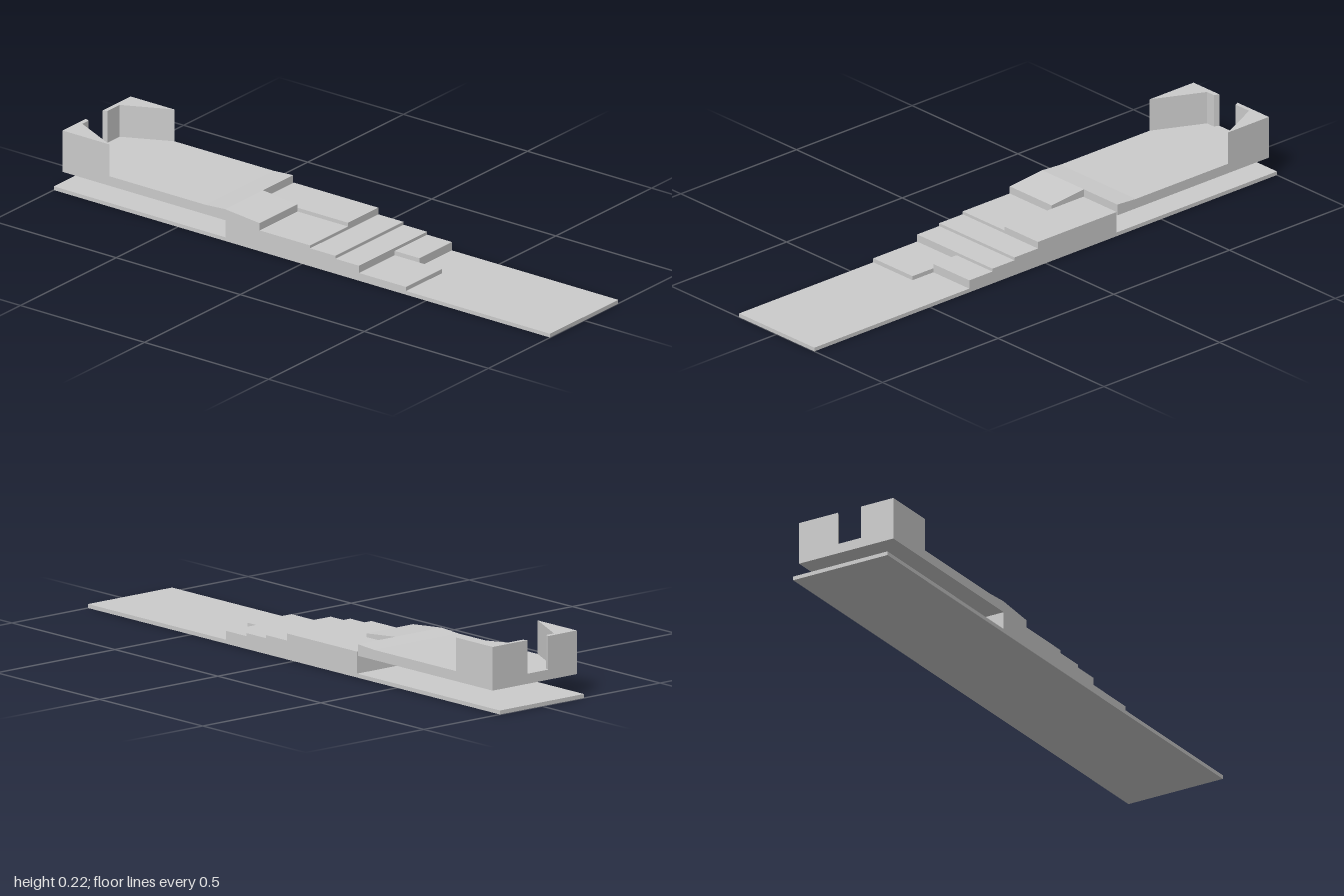
import * as THREE from 'three';

const material = new THREE.MeshStandardMaterial({ color: 0xcccccc, flatShading: true });
const W = 0.178; // half width
const BASE = 0.013; // base plate thickness

function toShape(points) {
  return new THREE.Shape(points.map(([a, b]) => new THREE.Vector2(a, b)));
}

function addMesh(group, name, geometry) {
  const mesh = new THREE.Mesh(geometry, material);
  mesh.name = name;
  group.add(mesh);
}

// Side profile given as [z, y] points, extruded across x0..x1
function addProfile(group, name, x0, x1, points) {
  const geometry = new THREE.ExtrudeGeometry(toShape(points), { depth: x1 - x0, bevelEnabled: false });
  geometry.rotateY(-Math.PI / 2).translate(x1, 0, 0);
  addMesh(group, name, geometry);
}

// Plan outline given as [x, z] points, extruded upwards from y0 to y1
function addPlan(group, name, y0, y1, points) {
  const geometry = new THREE.ExtrudeGeometry(
    toShape(points.map(([x, z]) => [x, -z])), { depth: y1 - y0, bevelEnabled: false });
  geometry.rotateX(-Math.PI / 2).translate(0, y0, 0);
  addMesh(group, name, geometry);
}

function addBlock(group, name, x0, x1, y0, y1, z0, z1) {
  const geometry = new THREE.BoxGeometry(x1 - x0, y1 - y0, z1 - z0);
  geometry.translate((x0 + x1) / 2, (y0 + y1) / 2, (z0 + z1) / 2);
  addMesh(group, name, geometry);
}

export function createModel() {
  const model = new THREE.Group();
  model.name = 'steppedRamp';

  // Long thin base plate
  addBlock(model, 'basePlate', -W, W, 0, BASE, -1, 1);

  // Steps from front to back: [x0, x1, top, back z, front z]
  const steps = new THREE.Group();
  steps.name = 'steps';
  [
    [-W, 0.008, 0.027, 0.23, 0.42],
    [0.008, W, 0.042, 0.23, 0.33],
    [-W, W, 0.052, 0.135, 0.23],
    [-W, W, 0.062, 0.033, 0.135],
    [-W, 0.02, 0.072, -0.307, 0.033],
    [0.02, W, 0.085, -0.307, 0.033],
  ].forEach(([x0, x1, top, z0, z1], i) =>
    addBlock(steps, `step${i + 1}`, x0, x1, BASE, top, z0, z1));
  model.add(steps);

  // Raised deck overhanging the base at the back, with a ramp on one half
  const deckBack = [[-0.965, 0.072], [-0.965, 0.105], [-0.39, 0.105], [-0.31, 0.11]];
  addProfile(model, 'deckWithRamp', -W, 0.02, [...deckBack, [-0.17, 0.097], [-0.17, 0.072]]);
  addProfile(model, 'deckPlain', 0.02, W, [...deckBack, [-0.31, 0.072]]);

  // Corner towers with slanted inner faces and a gap between them
  addPlan(model, 'rightTower', 0.1, 0.215,
    [[-W, -0.965], [-W, -0.775], [-0.096, -0.948], [-0.063, -0.948], [-0.056, -0.965]]);
  addPlan(model, 'leftTower', 0.1, 0.215,
    [[W, -0.965], [W, -0.788], [0.101, -0.95], [0.037, -0.95], [0.031, -0.965]]);

  return model;
}
